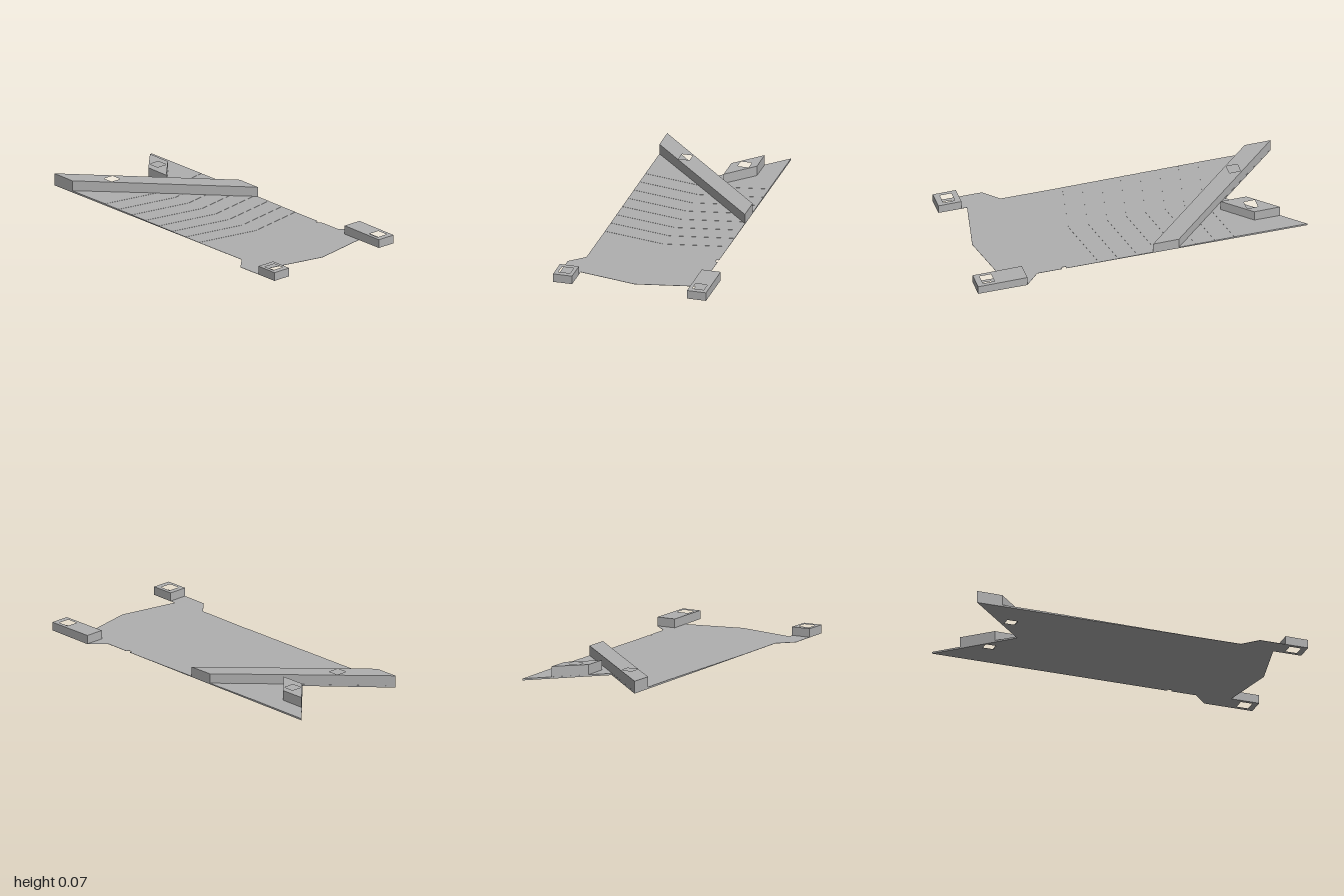
import * as THREE from 'three';

const grey = new THREE.MeshStandardMaterial({ color: 0xb0b0b0 });
grey.name = 'light grey';

const BASE = 0.0015, STEP = 0.0011, STEPS = 8;

// Square hole given as [x, z, size]
const backHoles = [[-0.178, -0.72, 0.066], [0.176, -0.72, 0.066]];
const frontHoles = [[-0.403, 0.93, 0.07], [0.4, 0.93, 0.07]];

// Plan outline in (x, z), extruded upwards from y0 to y1
function slab(name, outline, holes, y0, y1) {
  const toVec = ([x, z]) => new THREE.Vector2(x, -z);
  const shape = new THREE.Shape(outline.map(toVec));
  for (const [x, z, s] of holes) {
    const h = s / 2;
    shape.holes.push(new THREE.Path([[x - h, z - h], [x + h, z - h], [x + h, z + h], [x - h, z + h]].map(toVec)));
  }
  const geo = new THREE.ExtrudeGeometry(shape, { depth: y1 - y0, bevelEnabled: false });
  geo.rotateX(-Math.PI / 2).translate(0, y0, 0);
  const mesh = new THREE.Mesh(geo, grey);
  mesh.name = name;
  return mesh;
}

// Raised block whose top rises gently towards the back
function block(name, outline, hole) {
  const mesh = slab(name, outline, [hole], 0.001, 0.05);
  const pos = mesh.geometry.attributes.position;
  for (let i = 0; i < pos.count; i++) {
    if (pos.getY(i) > 0.02) pos.setY(i, 0.0504 + 0.0113 * (1 - pos.getZ(i)));
  }
  mesh.geometry.computeVertexNormals();
  return mesh;
}

export function createModel() {
  const group = new THREE.Group();
  group.name = 'slottedPlate';

  // Thin base plate with swallowtail back, two front feet and an edge notch
  group.add(slab('basePlate', [
    [-0.373, -1], [0, -0.615], [0.37, -1],
    [0.37, 0.443], [0.355, 0.443], [0.355, 0.47], [0.37, 0.47],
    [0.37, 0.62], [0.458, 0.705], [0.458, 1], [0.344, 1], [0.344, 0.828],
    [0, 0.9], [-0.346, 0.828], [-0.346, 1], [-0.46, 1], [-0.46, 0.705], [-0.373, 0.62],
  ], [...backHoles, ...frontHoles], 0, BASE));

  // Chevron-fronted layers that thicken the plate towards the back
  for (let i = 0; i < STEPS; i++) {
    const z = 0.25 - i * 0.116;
    const y = BASE + i * STEP;
    group.add(slab('chevronLayer' + (i + 1), [
      [-0.373, -1], [0, -0.615], [0.37, -1], [0.37, z], [0, z + 0.073], [-0.373, z],
    ], backHoles, y, y + STEP));
  }

  // Diagonal bar and the short skewed block beside it
  group.add(block('diagonalBar',
    [[-0.373, -1], [0.37, -0.23], [0.37, -0.075], [-0.373, -0.845]], backHoles[0]));
  group.add(block('skewedBlock',
    [[0.097, -0.715], [0.25, -0.873], [0.25, -0.718], [0.097, -0.56]], backHoles[1]));

  // Front foot blocks
  group.add(block('shortFootBlock',
    [[-0.46, 0.862], [-0.346, 0.862], [-0.346, 1], [-0.46, 1]], frontHoles[0]));
  group.add(block('longFootBlock',
    [[0.344, 0.705], [0.458, 0.705], [0.458, 1], [0.344, 1]], frontHoles[1]));

  return group;
}
